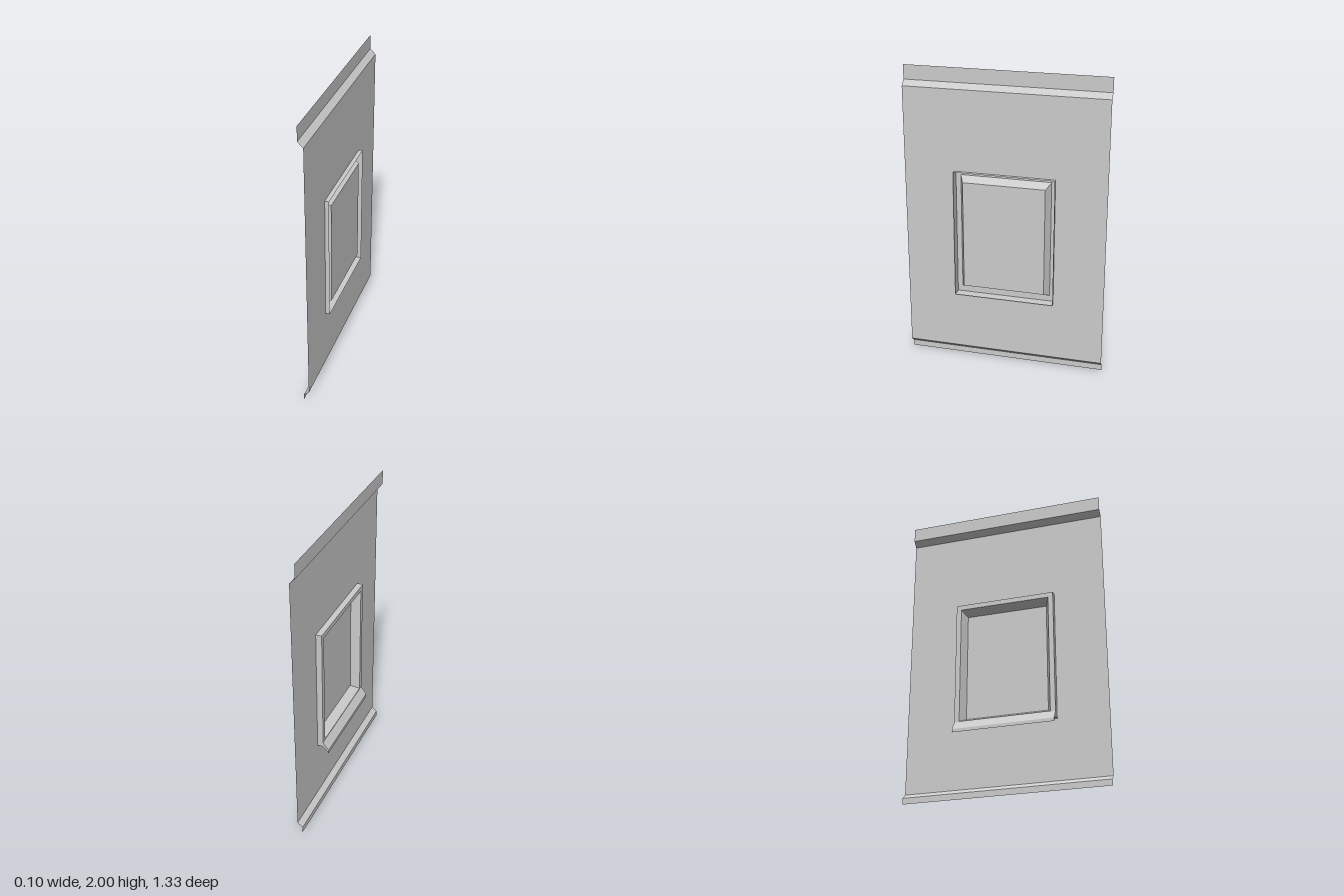
import * as THREE from 'three';

const sheet = new THREE.MeshStandardMaterial({ color: 0xcccccc, flatShading: true, side: THREE.DoubleSide });

// Four corners of a rectangle standing at a given x
const loop = ([x, half, y0, y1]) => [[x, y0, half], [x, y0, -half], [x, y1, -half], [x, y1, half]];

function quads(name, list) {
  const pos = [];
  for (const [a, b, c, d] of list) pos.push(...a, ...b, ...c, ...a, ...c, ...d);
  const g = new THREE.BufferGeometry();
  g.setAttribute('position', new THREE.Float32BufferAttribute(pos, 3));
  g.computeVertexNormals();
  const mesh = new THREE.Mesh(g, sheet);
  mesh.name = name;
  return mesh;
}

// Sheet running through successive rectangular loops
function rings(name, sections) {
  const list = [];
  for (let i = 0; i < sections.length - 1; i++) {
    const a = loop(sections[i]), b = loop(sections[i + 1]);
    for (let k = 0; k < 4; k++) {
      const n = (k + 1) % 4;
      list.push([a[k], a[n], b[n], b[k]]);
    }
  }
  return quads(name, list);
}

// Folded sheet following an x,y profile across the full width
function fold(name, profile, half) {
  const list = [];
  for (let i = 0; i < profile.length - 1; i++) {
    const [x0, y0] = profile[i], [x1, y1] = profile[i + 1];
    list.push([[x0, y0, half], [x0, y0, -half], [x1, y1, -half], [x1, y1, half]]);
  }
  return quads(name, list);
}

export function createModel() {
  const group = new THREE.Group();
  const W = 0.667, F = 0.333, back = -0.016, front = 0.05, face = 0.023, edge = -0.012;
  const bottom = 0.468, top = 1.333;

  // Wall sheet with window hole and joggled top and bottom edges
  group.add(rings('wallPanel', [[face, W, 0.07, 1.87], [face, F, bottom, top]]));
  group.add(fold('topFlange', [[face, 1.87], [edge, 1.905], [edge, 2]], W));
  group.add(fold('bottomFlange', [[edge, 0], [edge, 0.04], [face, 0.07]], W));

  // Thin outer wall, flat return, then splayed reveal
  const inner = [0.043, 0.272, 0.538, 1.267];
  group.add(rings('windowFrame', [
    [front, F, bottom, top],
    [back, F, bottom, top],
    [back, 0.3, 0.508, 1.3],
    inner,
  ]));
  group.add(quads('windowPane', [loop(inner)]));

  // Sloping drip sill
  const s = new THREE.Shape([
    [back, 0.503], [-0.054, 0.447], [-0.054, 0.425], [back, bottom],
  ].map(([x, y]) => new THREE.Vector2(x, y)));
  const sill = new THREE.Mesh(
    new THREE.ExtrudeGeometry(s, { depth: 2 * F, bevelEnabled: false }).translate(0, 0, -F), sheet);
  sill.name = 'windowSill';
  group.add(sill);

  return group;
}
